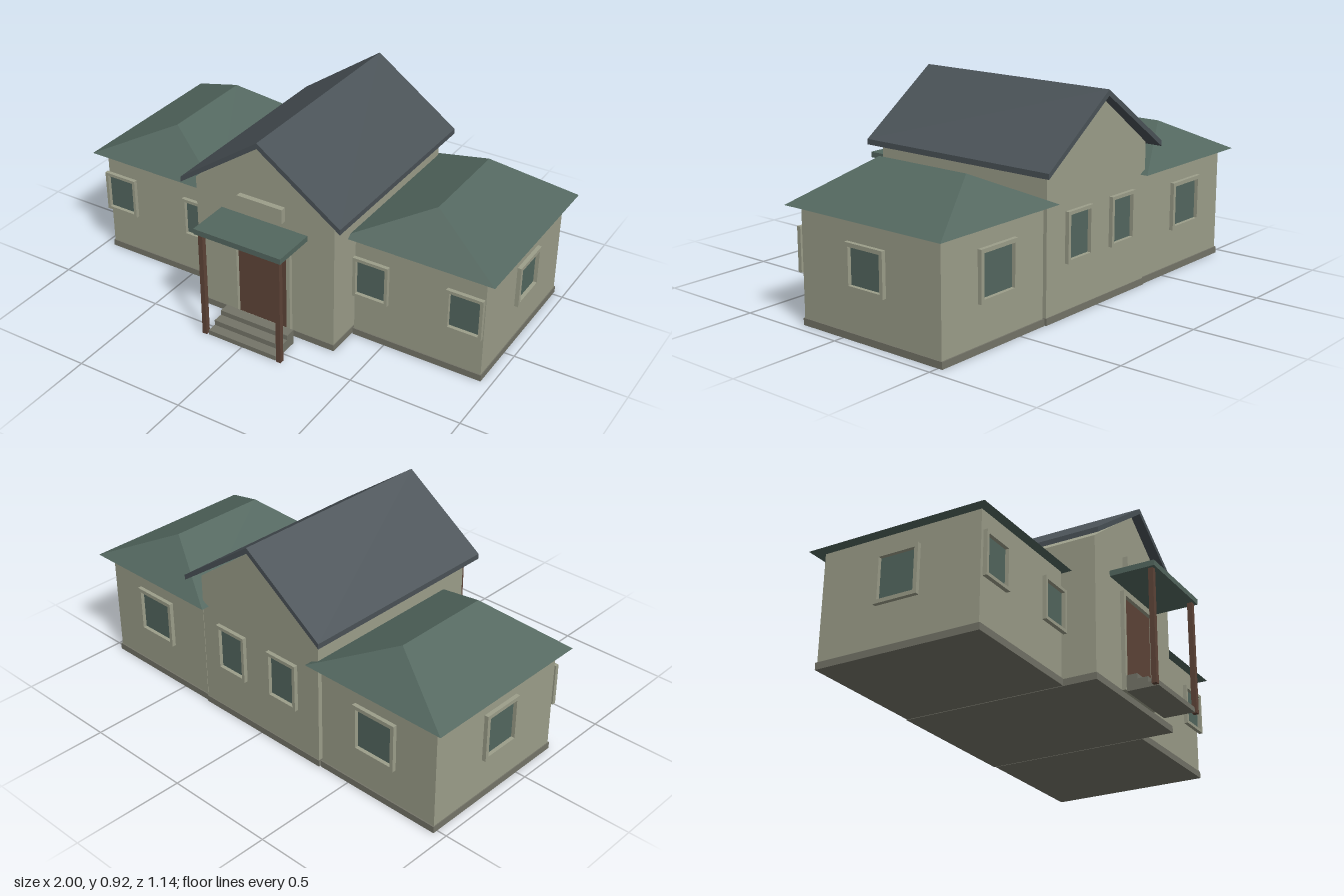
import * as THREE from 'three';

const material = (name, color) => {
  const m = new THREE.MeshStandardMaterial({ color });
  m.name = name;
  return m;
};

export function createModel() {
  const model = new THREE.Group();
  model.name = 'house';
  const wall = material('sageWall', 0x9c9e8a);
  const stone = material('greyPlinth', 0x747468);
  const slate = material('slateRoof', 0x4a5257);
  const green = material('mutedGreen', 0x53675f);
  const brown = material('brownWood', 0x5e4438);

  const add = (name, geometry, mat, parent = model) => {
    const mesh = new THREE.Mesh(geometry, mat);
    mesh.name = name;
    parent.add(mesh);
    return mesh;
  };
  // Box given by its limits on each axis
  const box = (name, mat, x0, x1, y0, y1, z0, z1) => {
    const g = new THREE.BoxGeometry(x1 - x0, y1 - y0, z1 - z0);
    g.translate((x0 + x1) / 2, (y0 + y1) / 2, (z0 + z1) / 2);
    return add(name, g, mat);
  };
  // Outline in x and y, extruded from z0 to z1
  const prism = (name, mat, points, z0, z1) => {
    const shape = new THREE.Shape(points.map(([x, y]) => new THREE.Vector2(x, y)));
    const g = new THREE.ExtrudeGeometry(shape, { depth: z1 - z0, bevelEnabled: false });
    g.translate(0, 0, z0);
    return add(name, g, mat);
  };
  // Framed panel standing just off a wall; turn is its rotation about y
  const opening = (name, fill, x, y, z, turn, w, h, border = 0.015) => {
    const group = new THREE.Group();
    group.name = name;
    const rect = (Type, a, b) => {
      const p = new Type();
      p.moveTo(-a / 2, -b / 2);
      p.lineTo(a / 2, -b / 2);
      p.lineTo(a / 2, b / 2);
      p.lineTo(-a / 2, b / 2);
      p.closePath();
      return p;
    };
    const iw = w - 2 * border, ih = h - 2 * border;
    const outline = rect(THREE.Shape, w, h);
    outline.holes.push(rect(THREE.Path, iw, ih));
    const frame = new THREE.ExtrudeGeometry(outline, { depth: 0.018, bevelEnabled: false });
    frame.translate(0, 0, 0.01);
    add(name + 'Frame', frame, wall, group);
    const pane = new THREE.BoxGeometry(iw, ih, 0.007);
    pane.translate(0, 0, 0.0075);
    add(name + 'Panel', pane, fill, group);
    group.position.set(x, y, z);
    group.rotation.y = turn;
    model.add(group);
  };

  // Central hall with gabled walls
  prism('hallWalls', wall,
    [[-0.34, 0.02], [0.34, 0.02], [0.34, 0.637], [0, 0.889], [-0.34, 0.637]], -0.524, 0.37);
  box('hallPlinth', stone, -0.343, 0.343, 0, 0.03, -0.528, 0.373);

  // Pitched roof over the hall
  prism('hallRoof', slate,
    [[-0.39, 0.617], [0, 0.89], [0.39, 0.617], [0.39, 0.641], [0, 0.916], [-0.39, 0.641]], -0.572, 0.412);

  // Two wings with hipped roofs
  for (const s of [-1, 1]) {
    const side = s > 0 ? 'left' : 'right';
    const span = (a, b) => (s > 0 ? [a, b] : [-b, -a]);
    box(side + 'WingWalls', wall, ...span(0.352, 0.95), 0.02, 0.505, -0.516, 0.22);
    box(side + 'WingPlinth', stone, ...span(0.348, 0.954), 0, 0.03, -0.522, 0.225);

    const hip = new THREE.BoxGeometry(0.696, 0.162, 0.824).toNonIndexed();
    const p = hip.attributes.position;
    for (let i = 0; i < p.count; i++) {
      // Gather the upper corners into a ridge
      if (p.getY(i) > 0) p.setXYZ(i, 0, p.getY(i), Math.sign(p.getZ(i)) * 0.23);
    }
    hip.computeVertexNormals();
    add(side + 'WingRoof', hip, green).position.set(s * 0.652, 0.581, -0.149);

    // Wing windows: two in front, one at the end, one behind
    for (const x of [0.437, 0.868]) {
      opening(side + 'FrontWindow', green, s * x, 0.312, 0.22, 0, 0.165, 0.19, 0.014);
    }
    opening(side + 'EndWindow', green, s * 0.95, 0.31, -0.146, s * Math.PI / 2,
      0.2, s > 0 ? 0.19 : 0.215, 0.017);
    opening(side + 'BackWindow', green, s * 0.65, 0.31, -0.516, Math.PI, 0.215, 0.215, 0.017);
    opening('hallBackWindow', green, s * 0.15, 0.344, -0.524, Math.PI, 0.165, 0.217);

    // Porch post
    box(side + 'PorchPost', brown, ...span(0.177, 0.199), 0, 0.505, 0.538, 0.56);
  }

  // Entrance: door, plaque, canopy and steps
  opening('door', brown, 0, 0.243, 0.37, 0, 0.284, 0.442, 0.017);
  box('gablePlaque', wall, -0.11, 0.11, 0.57, 0.636, 0.378, 0.403);
  box('porchCanopy', green, -0.212, 0.212, 0.505, 0.53, 0.365, 0.572);
  prism('entranceSteps', stone,
    [[0.415, 0], [0.555, 0], [0.555, 0.022], [0.51, 0.022], [0.51, 0.046],
      [0.463, 0.046], [0.463, 0.069], [0.415, 0.069]], -0.17, 0.17).rotation.y = -Math.PI / 2;

  return model;
}
